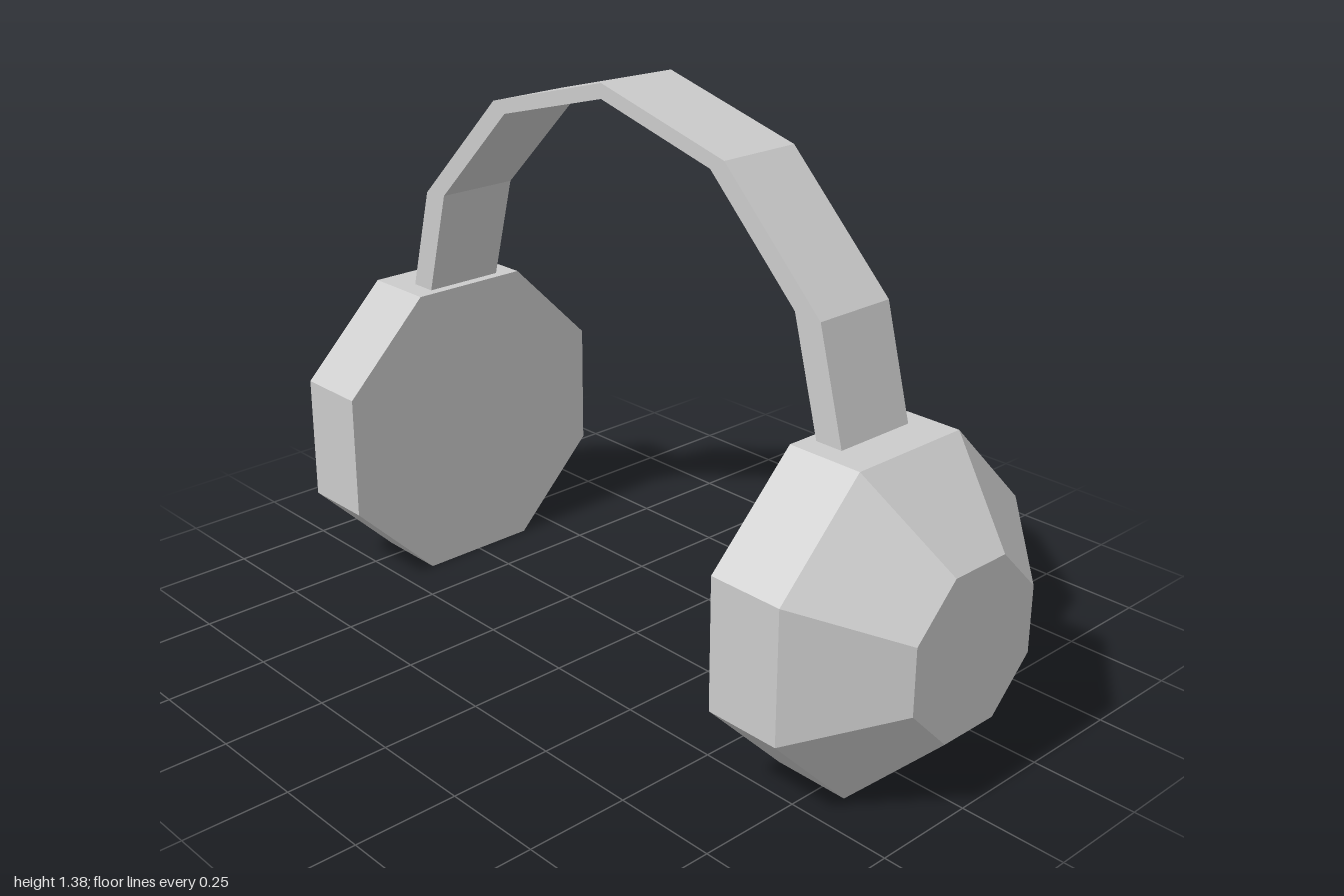
import * as THREE from 'three';

const material = new THREE.MeshStandardMaterial({ color: 0xcccccc, flatShading: true });

// Octagonal ear cup: straight rim, then a bevel to a smaller outer face
function createEarCup(name, turn) {
  const cornerRadius = 0.375 / Math.cos(Math.PI / 8);
  const profile = [
    [0, 0.625],
    [cornerRadius, 0.625],
    [cornerRadius, 0.81],
    [cornerRadius / 2, 1],
    [0, 1],
  ].map(([r, d]) => new THREE.Vector2(r, d));
  const geometry = new THREE.LatheGeometry(profile, 8, Math.PI / 8);
  geometry.rotateZ(-Math.PI / 2); // lathe axis onto +x
  const cup = new THREE.Mesh(geometry, material);
  cup.name = name;
  cup.position.y = 0.375;
  cup.rotation.y = turn;
  return cup;
}

// Faceted half ring in six steps, thinner at the crown than at the ends
function createHeadband() {
  const arc = (radius, centreY) =>
    Array.from({ length: 7 }, (_, i) => {
      const a = (i * Math.PI) / 6;
      return new THREE.Vector2(radius * Math.cos(a), centreY + radius * Math.sin(a));
    });
  const outline = [...arc(0.75, 0.63), ...arc(0.67, 0.675).reverse()];
  const width = 0.208;
  const geometry = new THREE.ExtrudeGeometry(new THREE.Shape(outline), {
    depth: width,
    bevelEnabled: false,
  });
  geometry.translate(0, 0, -width / 2);
  const band = new THREE.Mesh(geometry, material);
  band.name = 'headband';
  return band;
}

export function createModel() {
  const model = new THREE.Group();
  model.name = 'headphones';
  model.add(
    createHeadband(),
    createEarCup('leftEarCup', 0),
    createEarCup('rightEarCup', Math.PI),
  );
  return model;
}
